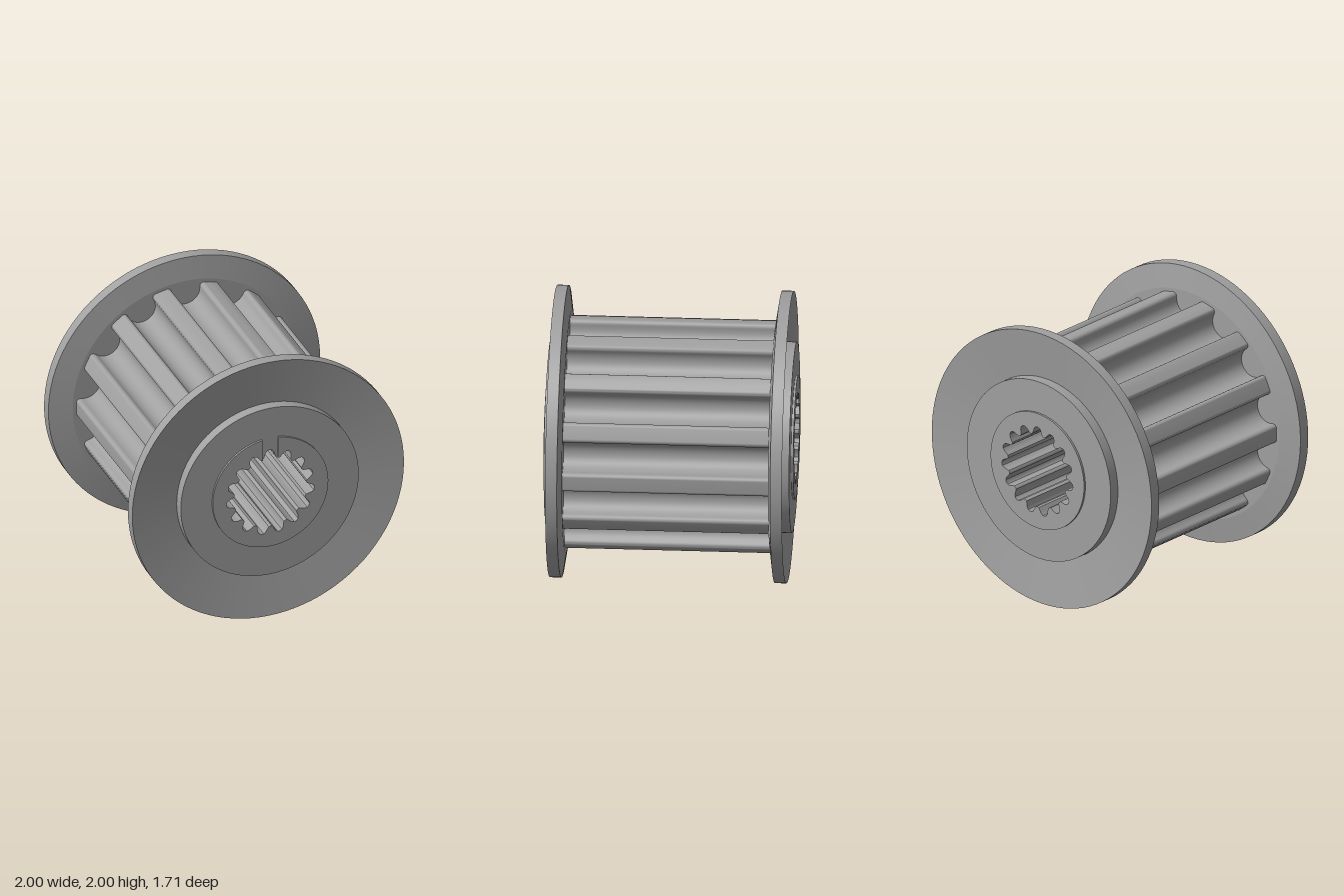
import * as THREE from 'three';
import { toCreasedNormals } from 'three/addons/utils/BufferGeometryUtils.js';

const RAD = Math.PI / 180;
const TEETH = 14, SPLINES = 15;
const SLEEVE_R = 0.425;

// Point at a clockwise angle (degrees) from straight up
const polar = (deg, r) => new THREE.Vector2(r * Math.sin(deg * RAD), r * Math.cos(deg * RAD));

// Extrude a shape between two z positions, smooth along its curves
function extrude(shape, z0, z1) {
  const g = new THREE.ExtrudeGeometry(shape, { depth: z1 - z0, bevelEnabled: false, curveSegments: 96 });
  g.translate(0, 0, z0);
  return toCreasedNormals(g, 0.6);
}

// Round-bottomed belt groove centred straight up, from left land to right land
function groovePoints() {
  const half = [];
  const bottom = 0.755, r = 0.105, fillet = 0.03;
  for (let i = 0; i <= 8; i++) { // bowl, bottom to side
    const a = (i / 8) * 90 * RAD;
    half.push(new THREE.Vector2(r * Math.sin(a), bottom - r * Math.cos(a)));
  }
  for (let i = 0; i <= 5; i++) { // rounded tooth tip
    const a = (180 - i * 16) * RAD;
    half.push(new THREE.Vector2(r + fillet + fillet * Math.cos(a), 0.765 + fillet * Math.sin(a)));
  }
  half.push(polar(9.8, 0.805), polar(12.857, 0.805));
  const left = half.slice(1).reverse().map(p => new THREE.Vector2(-p.x, p.y));
  return [...left.slice(1), ...half];
}

// Bore contour for notches first..last, clockwise from straight up
function borePoints(first, last) {
  const notch = [[-12, 0.266], [-9.3, 0.27], [-7.5, 0.285], [-5.5, 0.308], [-3, 0.322], [0, 0.326],
    [3, 0.322], [5.5, 0.308], [7.5, 0.285], [9.3, 0.27]];
  const pts = [];
  for (let k = first; k <= last; k++)
    for (const [a, r] of notch) pts.push(polar(a + k * 360 / SPLINES, r));
  return pts;
}

export function createModel() {
  const metal = new THREE.MeshStandardMaterial({ color: 0xa0a0a0 });
  metal.name = 'grey metal';
  const model = new THREE.Group();
  model.name = 'timingPulley';
  const add = (name, geometry) => {
    const m = new THREE.Mesh(geometry, metal);
    m.name = name;
    m.position.y = 1;
    model.add(m);
    return m;
  };

  // Toothed drum
  const outline = [];
  const groove = groovePoints();
  for (let k = 0; k < TEETH; k++)
    for (const p of groove)
      outline.push(p.clone().rotateAround(new THREE.Vector2(), -k * 2 * Math.PI / TEETH));
  const drum = new THREE.Shape(outline);
  drum.holes.push(new THREE.Path().absarc(0, 0, 0.42, 0, Math.PI * 2));
  add('toothedDrum', extrude(drum, -0.71, 0.71));

  // Dished flanges with raised hubs, one at each end
  const profile = [[SLEEVE_R, 0.705], [0.83, 0.705], [1, 0.73], [1, 0.81],
    [0.655, 0.765], [0.655, 0.84], [SLEEVE_R, 0.84]].map(p => new THREE.Vector2(...p));
  const flange = toCreasedNormals(new THREE.LatheGeometry(profile, 96).rotateX(Math.PI / 2), 0.1);
  add('frontFlange', flange);
  add('backFlange', flange).rotation.y = Math.PI;

  // Sleeve with the splined bore, proud of the hub at the back
  const sleeve = new THREE.Shape().absarc(0, 0, SLEEVE_R, 0, Math.PI * 2);
  sleeve.holes.push(new THREE.Path(borePoints(0, SPLINES - 1)));
  add('splinedSleeve', extrude(sleeve, -0.855, 0.84));

  // Raised front collar, slotted at the top
  const slot = Math.asin(0.06 / SLEEVE_R) / RAD;
  const collar = [];
  for (let i = 0; i <= 90; i++) collar.push(polar(slot + (360 - 2 * slot) * i / 90, SLEEVE_R));
  collar.push(polar(348, 0.266), ...borePoints(1, SPLINES - 1).reverse());
  add('slottedCollar', extrude(new THREE.Shape(collar), 0.84, 0.855));

  return model;
}
